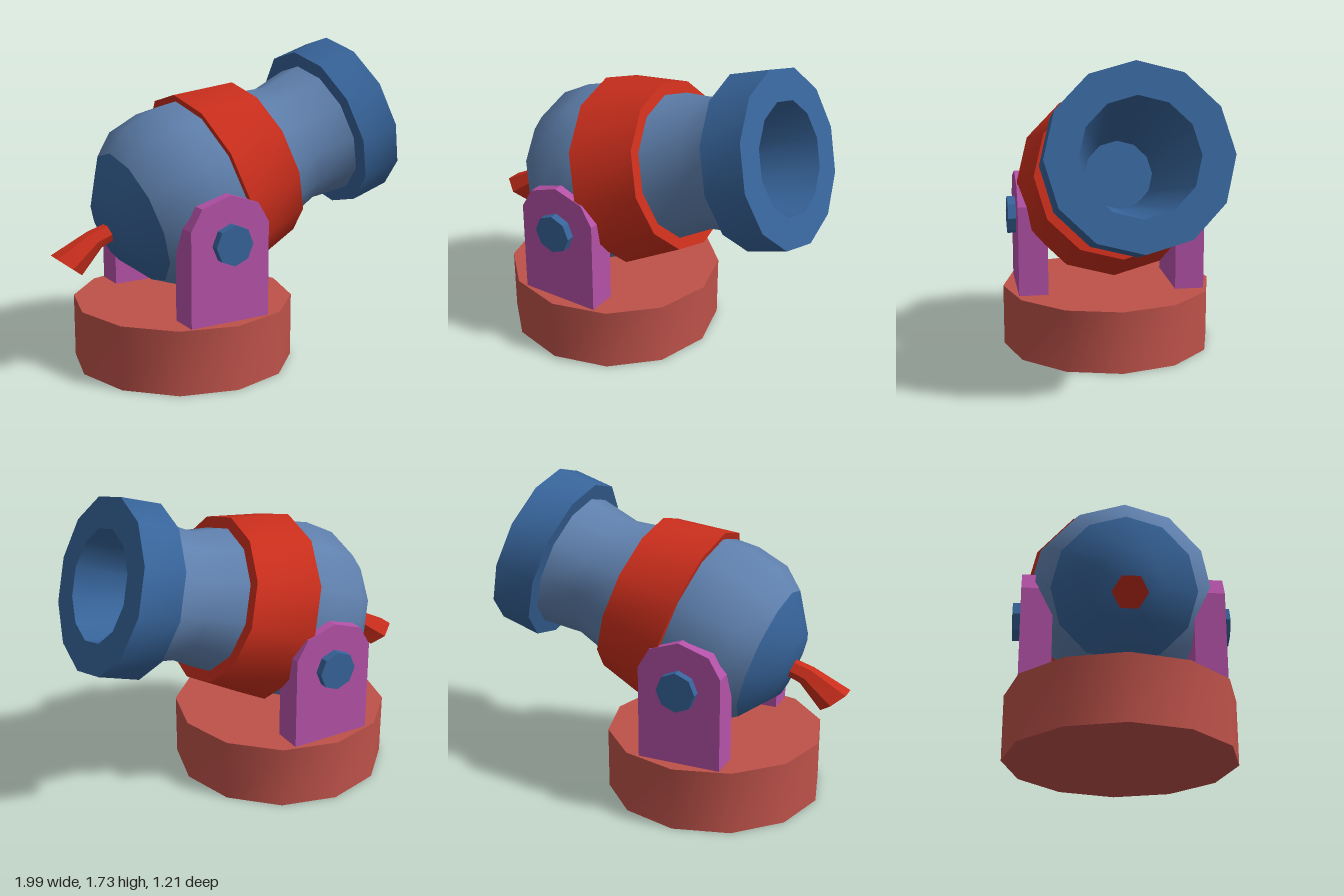
import * as THREE from 'three';
import { toCreasedNormals } from 'three/addons/utils/BufferGeometryUtils.js';

const SIDES = 12;
const TILT = THREE.MathUtils.degToRad(18);
const PIVOT_X = -0.245;

const paint = (color) => new THREE.MeshStandardMaterial({ color });
const steel = paint(0x5f80ad);
const navy = paint(0x37649a);
const red = paint(0xca2e1c);
const brick = paint(0xbe524a);
const purple = paint(0xb452a8);

function add(parent, name, geometry, material, crease = 0.7) {
  const mesh = new THREE.Mesh(crease ? toCreasedNormals(geometry, crease) : geometry, material);
  mesh.name = name;
  parent.add(mesh);
  return mesh;
}

// Turned part: [radius, distance along the barrel axis], muzzle face at 0
const turned = (points) =>
  new THREE.LatheGeometry(points.map(([r, s]) => new THREE.Vector2(r, s)), SIDES);

// Flared fuse: hexagonal rings between a top and a bottom silhouette point
function fuseGeometry() {
  const rings = [
    { top: [-0.64, 0.83], bottom: [-0.64, 0.74], half: 0.05 },
    { top: [-0.80, 0.78], bottom: [-0.74, 0.70], half: 0.055 },
    { top: [-1.0, 0.675], bottom: [-0.865, 0.57], half: 0.09 },
  ];
  const n = 6, pos = [], index = [];
  for (const { top, bottom, half } of rings) {
    for (let i = 0; i < n; i++) {
      const a = (i / n) * Math.PI * 2;
      const t = 0.5 + Math.sin(a) / Math.sqrt(3);
      pos.push(
        bottom[0] + (top[0] - bottom[0]) * t,
        bottom[1] + (top[1] - bottom[1]) * t,
        half * Math.cos(a)
      );
    }
  }
  for (let k = 0; k < rings.length - 1; k++) {
    for (let i = 0; i < n; i++) {
      const a = k * n + i, b = k * n + ((i + 1) % n);
      index.push(a, a + n, b, b, a + n, b + n);
    }
  }
  const last = (rings.length - 1) * n;
  for (let i = 1; i < n - 1; i++) index.push(last, last + i + 1, last + i);
  // Turn the faces outward
  for (let i = 0; i < index.length; i += 3) {
    [index[i + 1], index[i + 2]] = [index[i + 2], index[i + 1]];
  }
  const g = new THREE.BufferGeometry();
  g.setAttribute('position', new THREE.Float32BufferAttribute(pos, 3));
  g.setIndex(index);
  g.computeVertexNormals();
  return g;
}

export function createModel() {
  const model = new THREE.Group();
  model.name = 'cannon';

  // Round base
  add(model, 'base', new THREE.CylinderGeometry(0.605, 0.605, 0.35, SIDES), brick)
    .position.set(PIVOT_X, 0.175, 0);

  // Side brackets with rounded tops, and their bolts
  const outline = new THREE.Shape(
    [[-0.23, 0.34], [0.23, 0.34], [0.23, 0.86], [0.165, 0.97], [0, 1.025], [-0.165, 0.97], [-0.23, 0.86]]
      .map(([x, y]) => new THREE.Vector2(x, y))
  );
  for (const side of [1, -1]) {
    const label = side > 0 ? 'front' : 'back';
    add(model, label + 'Bracket',
      new THREE.ExtrudeGeometry(outline, { depth: 0.165, bevelEnabled: false }), purple, 0.3)
      .position.set(PIVOT_X - 0.005, 0, side > 0 ? 0.365 : -0.53);
    const bolt = add(model, label + 'Bolt', new THREE.CylinderGeometry(0.108, 0.108, 0.2, 8), navy, 0.3);
    bolt.rotation.x = Math.PI / 2;
    bolt.position.set(PIVOT_X - 0.005, 0.77, side * 0.475);
  }

  // Tilted barrel assembly
  const barrel = new THREE.Group();
  barrel.name = 'barrelAssembly';
  barrel.position.set(0.848, 1.285, 0);
  barrel.rotation.z = TILT - Math.PI / 2;
  model.add(barrel);

  add(barrel, 'barrel', turned([
    [0.38, -1.473], [0.472, -1.35], [0.503, -1.16], [0.49, -1.0],
    [0.40, -0.68], [0.35, -0.46], [0.385, -0.22],
  ]), steel, 1.0);

  add(barrel, 'breechCap', turned([[0, -1.625], [0.19, -1.612], [0.38, -1.473]]), navy, 0.9);

  add(barrel, 'band', turned([
    [0.44, -1.023], [0.529, -1.023], [0.459, -0.665], [0.36, -0.665],
  ]), red);

  // Muzzle ring with a tapering closed bore
  add(barrel, 'muzzle', turned([
    [0.34, -0.232], [0.469, -0.232], [0.469, 0], [0.30, 0], [0.185, -0.7], [0, -0.7],
  ]), navy);

  add(model, 'fuse', fuseGeometry(), red, 0.6);
  return model;
}
